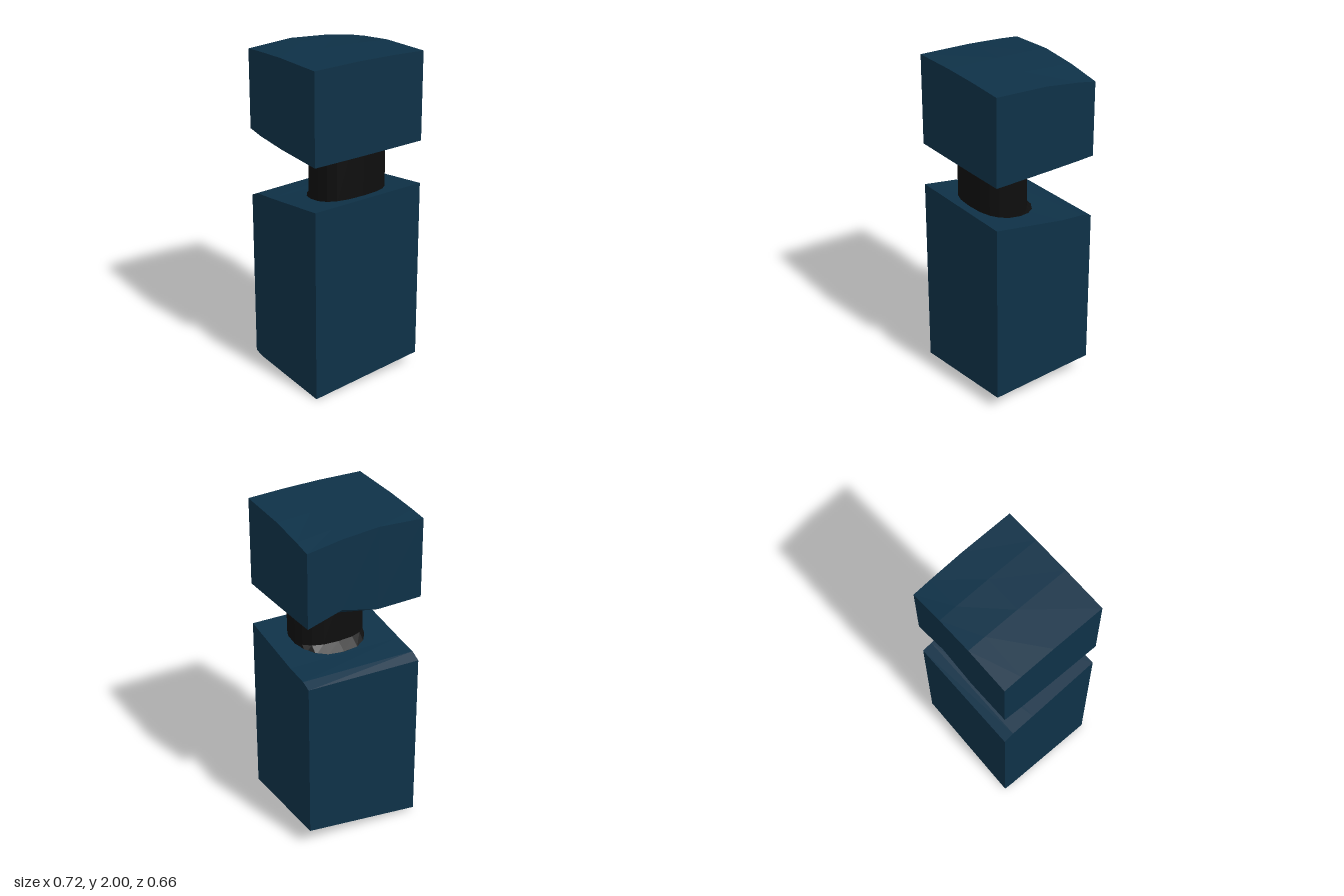
import * as THREE from 'three';

// Straight-sided block whose top and bottom follow a grid of heights (rows run back to front, columns along x).
function unevenBlock(xs, zs, bottom, top) {
  const nx = xs.length - 1, nz = zs.length - 1;
  const box = new THREE.BoxGeometry(1, 1, 1, nx, 1, nz);
  const p = box.attributes.position;
  for (let n = 0; n < p.count; n++) {
    const i = Math.round((p.getX(n) + 0.5) * nx);
    const k = Math.round((p.getZ(n) + 0.5) * nz);
    p.setXYZ(n, xs[i], (p.getY(n) > 0 ? top : bottom)[k][i], zs[k]);
  }
  return flat(box);
}

function flat(geometry) {
  const g = geometry.toNonIndexed();
  g.computeVertexNormals();
  return g;
}

// Rounded-square column; its back flares out where it meets each block.
function neckGeometry() {
  const levels = [ // height, back z
    [1.06, -0.13], [1.12, -0.11], [1.16, -0.05], [1.42, -0.05], [1.455, -0.12], [1.5, -0.13],
  ];
  const g = new THREE.CylinderGeometry(1, 1, 1, 18, levels.length - 1, true);
  const p = g.attributes.position;
  const soften = (v) => Math.sign(v) * Math.pow(Math.abs(v), 0.8);
  for (let n = 0; n < p.count; n++) {
    const [y, back] = levels[Math.round((p.getY(n) + 0.5) * (levels.length - 1))];
    const s = soften(p.getX(n)), c = soften(p.getZ(n));
    const z = 0.11 + c * (c > 0 ? 0.16 : 0.11 - back);
    p.setXYZ(n, 0.005 + s * 0.226, y, z);
  }
  return flat(g);
}

export function createModel() {
  const model = new THREE.Group();
  model.name = 'notchedPost';
  const blue = new THREE.MeshStandardMaterial({ color: 0x0e3147 });
  blue.name = 'deep blue';
  const black = new THREE.MeshStandardMaterial({ color: 0x0e0e0e });
  black.name = 'near black';

  const add = (name, geometry, material) => {
    const mesh = new THREE.Mesh(geometry, material);
    mesh.name = name;
    model.add(mesh);
  };

  // Tall lower block with slanted base and back-sloping top
  add('lowerBlock', unevenBlock(
    [-0.362, 0.362], [-0.332, -0.27, -0.12, 0.332],
    [[0.018, 0.115], [0.004, 0.111], [0.003, 0.104], [0, 0.08]],
    [[1.065, 1.085], [1.095, 1.107], [1.115, 1.12], [1.187, 1.195]],
  ), blue);

  // Neck between the blocks
  add('neck', neckGeometry(), black);

  // Short upper block with a gently domed top and a dent under its back edge
  add('upperBlock', unevenBlock(
    [-0.362, -0.08, 0.15, 0.362], [-0.332, -0.22, 0, 0.332],
    [[1.48, 1.475, 1.53, 1.467], [1.465, 1.461, 1.461, 1.463],
      [1.453, 1.455, 1.457, 1.459], [1.45, 1.451, 1.453, 1.456]],
    [[1.956, 1.97, 1.95, 1.915], [1.968, 1.978, 1.963, 1.936],
      [1.985, 1.99, 1.982, 1.967], [1.997, 2, 1.995, 1.985]],
  ), blue);

  return model;
}
